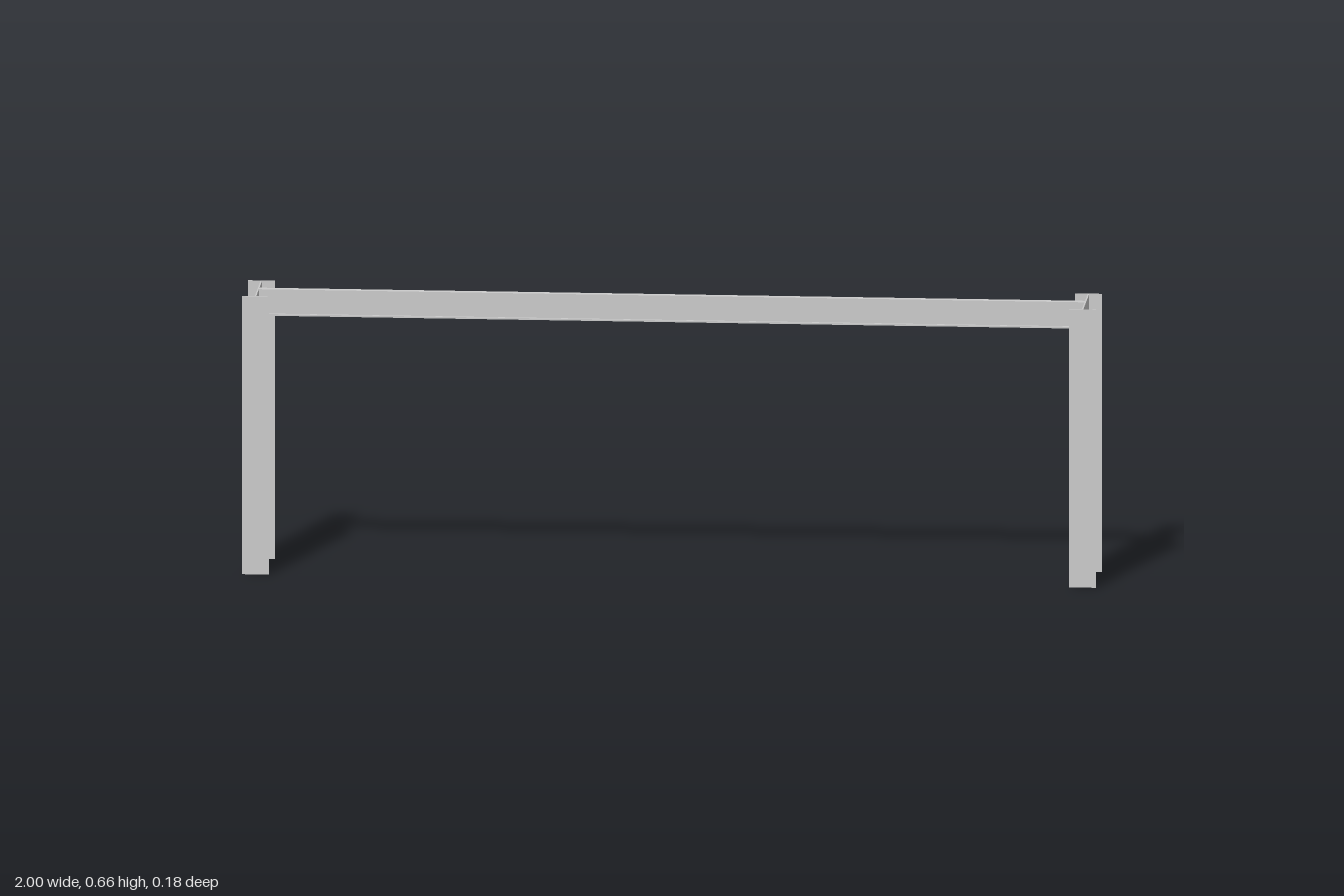
import * as THREE from 'three';

// I-section outline: flanges run along x, web along y
function iSection(width, depth, flange, web) {
  const w = width / 2, d = depth / 2, t = web / 2, f = d - flange;
  const half = [[w, -d], [w, -f], [t, -f], [t, f], [w, f], [w, d]];
  const other = half.map(([x, y]) => [-x, -y]);
  return new THREE.Shape([...half, ...other].map(([x, y]) => new THREE.Vector2(x, y)));
}

function iBar(name, shape, length, material) {
  const geometry = new THREE.ExtrudeGeometry(shape, { depth: length, bevelEnabled: false });
  geometry.translate(0, 0, -length / 2);
  const mesh = new THREE.Mesh(geometry, material);
  mesh.name = name;
  return mesh;
}

export function createModel() {
  const group = new THREE.Group();
  group.name = 'portalFrame';
  const material = new THREE.MeshStandardMaterial({ color: 0xcccccc, flatShading: true });
  const height = 0.663, columnWidth = 0.063, columnX = 1 - columnWidth / 2;
  const webThickness = 0.0035;

  // Columns: upright, flanges facing front and back
  const columnShape = iSection(columnWidth, 0.184, 0.004, webThickness);
  for (const [side, name] of [[1, 'leftColumn'], [-1, 'rightColumn']]) {
    const column = iBar(name, columnShape, height, material);
    column.rotation.x = -Math.PI / 2;
    column.position.set(side * columnX, height / 2, 0);
    group.add(column);
  }

  // Beam: spans between the column webs, flush with their tops
  const beamDepth = 0.063;
  const beamShape = iSection(0.018, beamDepth, 0.004, 0.004);
  const beam = iBar('crossBeam', beamShape, 2 * columnX - webThickness, material);
  beam.rotation.y = Math.PI / 2;
  beam.position.y = height - beamDepth / 2;
  group.add(beam);

  return group;
}
